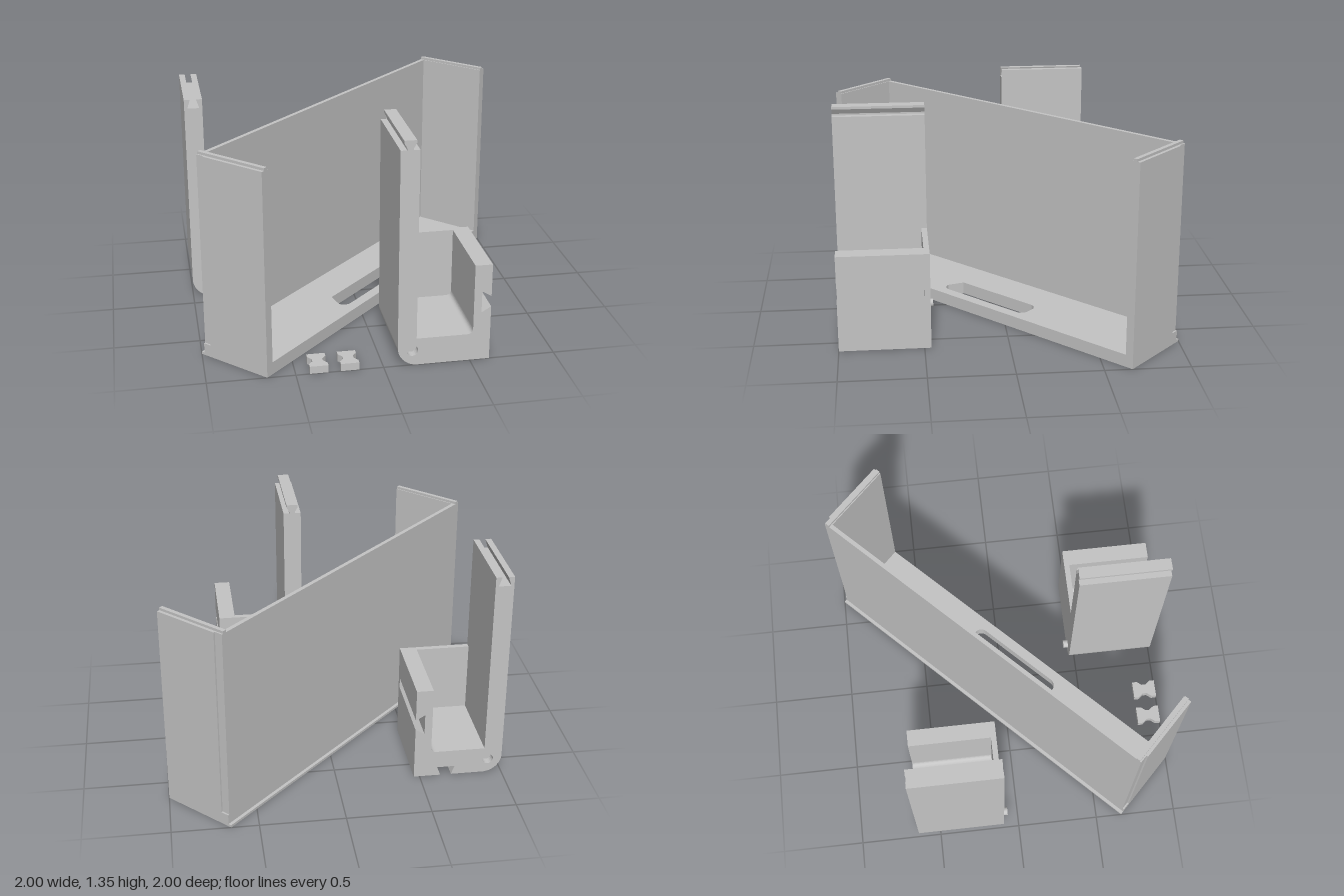
import * as THREE from 'three';

const grey = new THREE.MeshStandardMaterial({ color: 0xc4c4c4 });
grey.name = 'grey plastic';

function add(parent, name, geometry, x = 0, y = 0, z = 0) {
  const mesh = new THREE.Mesh(geometry, grey);
  mesh.name = name;
  mesh.position.set(x, y, z);
  parent.add(mesh);
  return mesh;
}

// Box given by its minimum and maximum corners
function block(parent, name, x0, x1, y0, y1, z0, z1) {
  return add(parent, name, new THREE.BoxGeometry(x1 - x0, y1 - y0, z1 - z0),
    (x0 + x1) / 2, (y0 + y1) / 2, (z0 + z1) / 2);
}

const extrude = (shape, depth) =>
  new THREE.ExtrudeGeometry(shape, { depth, bevelEnabled: false, curveSegments: 10 });

// Open-fronted bin, long axis on local x, open side on local +z
function makeBin() {
  const bin = new THREE.Group();
  bin.name = 'bin';
  const L = 1.174, W = 0.24, T = 0.05;

  // Floor with a rounded slot (shape y becomes -z)
  const floor = new THREE.Shape();
  floor.moveTo(-L, -W).lineTo(L, -W).lineTo(L, 0.22).lineTo(-L, 0.22).closePath();
  const slot = new THREE.Path();
  const a = 0.325, b0 = -0.177, b1 = -0.035, r = 0.05;
  slot.moveTo(-a + r, b0);
  slot.absarc(-a + r, b1 - r, r, Math.PI, Math.PI / 2, true);
  slot.absarc(a - r, b1 - r, r, Math.PI / 2, 0, true);
  slot.absarc(a - r, b0 + r, r, 0, -Math.PI / 2, true);
  slot.absarc(-a + r, b0 + r, r, -Math.PI / 2, -Math.PI, true);
  slot.curves.shift();
  floor.holes.push(slot);
  add(bin, 'floor', extrude(floor, 0.075)).rotation.x = -Math.PI / 2;

  block(bin, 'rearLedge', -L, L, 0, 0.015, -W, -0.22);
  block(bin, 'backPanel', -L + 0.01, L - 0.01, 0.075, 1.225, -0.22, -0.195);
  for (const s of [-1, 1]) {
    const span = (p, q) => (s > 0 ? [p, q] : [-q, -p]);
    block(bin, 'endWall', ...span(L - T, L), 0.075, 1.225, -0.17, W);
    block(bin, 'endPost', ...span(L - T, L - 0.01), 0.075, 1.225, -0.195, -0.17);
    block(bin, 'topRidge', ...span(1.13, 1.155), 1.225, 1.24, -0.22, W);
  }
  bin.rotation.y = Math.PI / 4;
  return bin;
}

// Tall arm with a pocket at its foot; the female one is mirrored in z
function makeBracket(female) {
  const g = new THREE.Group();
  g.name = female ? 'grooveBracket' : 'tongueBracket';
  const X0 = 0.08, X1 = 0.188, X2 = 0.515, X3 = 0.615, TOP = 1.295, LIP = 0.59;
  const mid = (X0 + X1) / 2, R = 0.115;

  function outline(pocket) {
    const s = new THREE.Shape();
    s.moveTo(X0 + R, 0);
    if (female) { // dovetail groove underneath
      s.lineTo(0.387, 0).lineTo(0.367, 0.055).lineTo(0.473, 0.055).lineTo(0.453, 0);
    }
    s.lineTo(X3, 0);
    if (pocket) { // dovetail groove in the outer wall
      s.lineTo(X3, 0.33).lineTo(0.56, 0.297).lineTo(0.56, 0.427).lineTo(X3, 0.395);
    }
    s.lineTo(X3, LIP);
    if (pocket) {
      s.lineTo(X2, LIP).lineTo(X2, 0.2);
      s.quadraticCurveTo(X2, 0.165, X2 - 0.035, 0.165);
      s.lineTo(X1, 0.165);
    } else {
      s.lineTo(X1, LIP);
    }
    s.lineTo(X1, TOP);
    const joint = female
      ? [[0.018, TOP], [0.036, 1.24]]
      : [[0.018, TOP], [0.018, 1.305], [0.035, 1.335], [0.035, 1.35]];
    joint.forEach(([w, y]) => s.lineTo(mid + w, y));
    joint.reverse().forEach(([w, y]) => s.lineTo(mid - w, y));
    s.lineTo(X0, TOP).lineTo(X0, R);
    s.absarc(X0 + R, R, R, Math.PI, Math.PI * 1.5, false);
    return s;
  }
  const zOf = (z0, z1) => (female ? 0.365 - z1 : z0);
  const layer = (name, shape, z0, z1) =>
    add(g, name, extrude(shape, z1 - z0), 0, 0, zOf(z0, z1));

  layer('closedSide', outline(false), 0.46, 0.493);
  layer('pocketBody', outline(true), 0.493, 0.95);
  const face = outline(true);
  face.holes.push(new THREE.Path().absarc(0.165, 0.09, 0.033, 0, Math.PI * 2, true));
  layer('socketSide', face, 0.95, 1);

  // Locating pin opposite the socket
  const pin = new THREE.CylinderGeometry(0.026, 0.026, 0.03, 24).rotateX(Math.PI / 2);
  add(g, 'pin', pin, 0.165, 0.09, zOf(0.43, 0.46) + 0.015);
  if (female) g.position.x = -1.08;
  return g;
}

// Loose bow-tie key lying on the ground
function makeKey(x) {
  const half = [[0.053, -0.0725], [0.053, -0.042], [0.03, -0.012],
    [0.03, 0.012], [0.053, 0.042], [0.053, 0.0725]];
  const points = [...half, ...half.map(([a, b]) => [-a, -b])];
  const shape = new THREE.Shape(points.map(([a, b]) => new THREE.Vector2(a, b)));
  const key = new THREE.Mesh(extrude(shape, 0.045), grey);
  key.name = 'joiningKey';
  key.rotation.x = -Math.PI / 2;
  key.position.set(x, 0, 0.927);
  return key;
}

export function createModel() {
  const model = new THREE.Group();
  model.name = 'binWithBrackets';
  model.add(makeBin(), makeBracket(false), makeBracket(true), makeKey(-0.368), makeKey(-0.192));
  return model;
}
